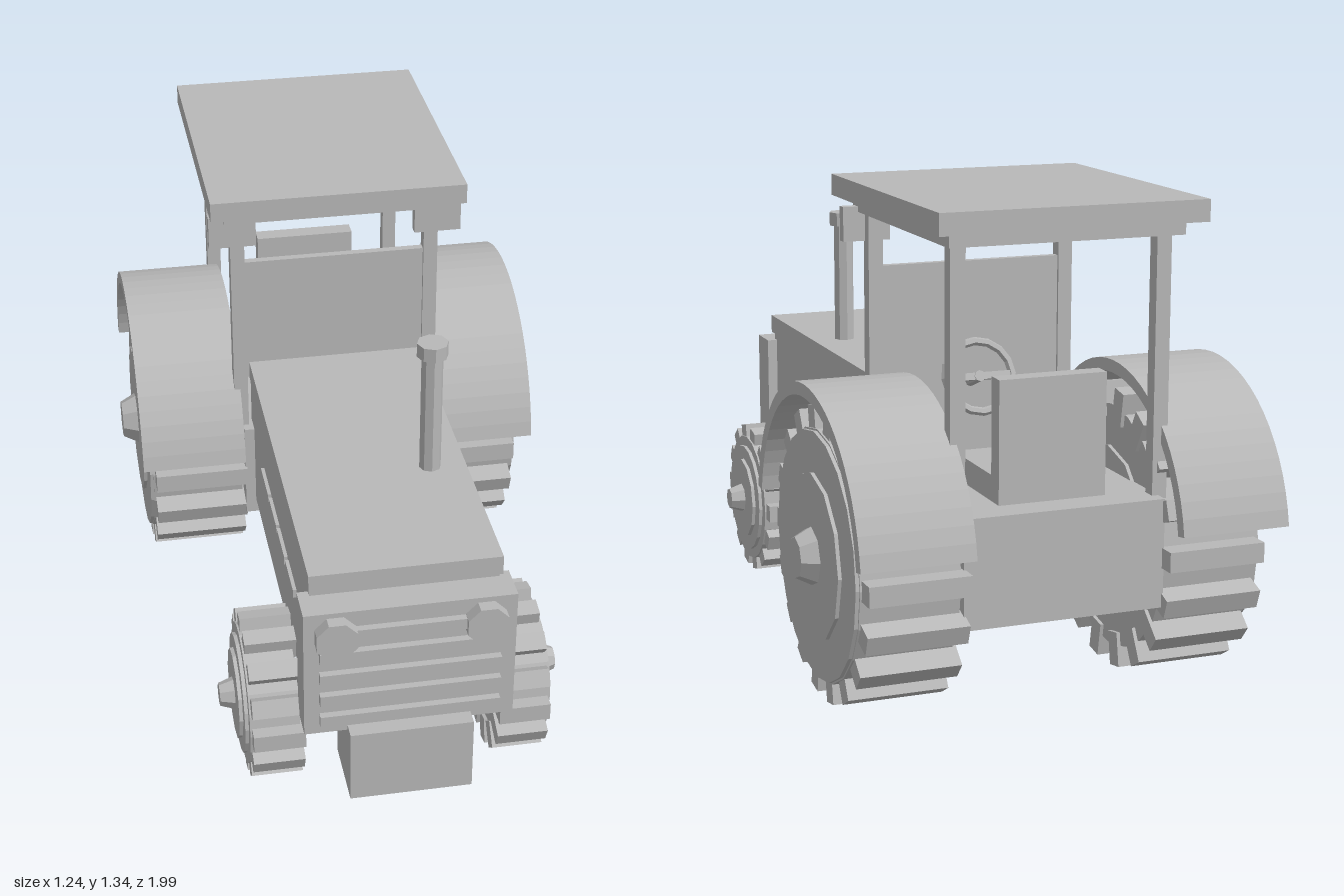
import * as THREE from 'three';

const grey = new THREE.MeshStandardMaterial({ color: 0xb8b8b8, flatShading: true });
grey.name = 'light grey';

function add(parent, name, geometry, x = 0, y = 0, z = 0) {
  const mesh = new THREE.Mesh(geometry, grey);
  mesh.name = name;
  mesh.position.set(x, y, z);
  parent.add(mesh);
  return mesh;
}

// Box given by its [min, max] extent on each axis
function box(parent, name, [x0, x1], [y0, y1], [z0, z1]) {
  return add(parent, name, new THREE.BoxGeometry(x1 - x0, y1 - y0, z1 - z0),
    (x0 + x1) / 2, (y0 + y1) / 2, (z0 + z1) / 2);
}

// Cylinder lying along x, from x0 (radius r0) to x1 (radius r1)
function axial(parent, name, x0, x1, r0, r1, sides) {
  const g = new THREE.CylinderGeometry(r1, r0, x1 - x0, sides);
  g.rotateZ(-Math.PI / 2);
  return add(parent, name, g, (x0 + x1) / 2);
}

// Wheel facing +x; the right-hand wheel is the same one turned around
function wheel(parent, name, side, y, z, p) {
  const w = new THREE.Group();
  w.name = name;
  w.position.set(0, y, z);
  if (side < 0) w.rotation.y = Math.PI;
  parent.add(w);
  axial(w, 'tyre', p.inner, p.outer, p.tyre, p.tyre, 20);
  axial(w, 'sidewall', p.outer, p.outer + 0.01, p.wall, p.wall, 20);
  axial(w, 'rim', p.inner - 0.01, p.outer + 0.02, p.rim, p.rim, 12);
  axial(w, 'hub', p.outer + 0.02, p.hubEnd, p.hub, p.hub * 0.7, 8);
  const height = p.reach - p.tyre + 0.04;
  for (let i = 0; i < p.lugs; i++) {
    const a = (i / p.lugs) * Math.PI * 2;
    const r = p.reach - height / 2;
    const lug = add(w, 'lug', new THREE.BoxGeometry(p.lugEnd - p.inner + 0.01, p.lugWidth, height),
      (p.lugEnd + p.inner - 0.01) / 2, Math.sin(a) * r, Math.cos(a) * r);
    lug.rotation.x = -a;
  }
}

export function createModel() {
  const model = new THREE.Group();
  model.name = 'tractor';

  // Hood, chassis and nose
  box(model, 'hood', [-0.25, 0.25], [0.31, 0.72], [-0.22, 0.87]);
  box(model, 'hoodTop', [-0.255, 0.255], [0.715, 0.77], [-0.2, 0.89]);
  box(model, 'rearBody', [-0.28, 0.28], [0.265, 0.56], [-0.89, -0.16]);
  box(model, 'grilleShell', [-0.28, 0.28], [0.31, 0.695], [0.85, 0.955]);
  box(model, 'frontWeight', [-0.165, 0.165], [0.11, 0.325], [0.8, 1]);
  for (let i = 0; i < 5; i++) {
    const y = 0.36 + i * 0.068;
    box(model, 'grilleBar', [-0.24, 0.24], [y - 0.016, y + 0.016], [0.95, 0.975]);
  }

  // Exhaust stack
  add(model, 'exhaust', new THREE.CylinderGeometry(0.03, 0.03, 0.37, 8), 0.155, 0.945, 0.44);
  add(model, 'exhaustCap', new THREE.CylinderGeometry(0.043, 0.043, 0.04, 8), 0.155, 1.14, 0.44);

  // Front axle
  const axle = axial(model, 'frontAxle', -0.3, 0.3, 0.035, 0.035, 8);
  axle.position.y = 0.235;
  axle.position.z = 0.66;

  // Fender arch profile
  const arch = new THREE.Shape();
  arch.absarc(0, 0, 0.452, 0.16, Math.PI - 0.16, false);
  arch.absarc(0, 0, 0.417, Math.PI - 0.16, 0.16, true);
  const fenderGeometry = new THREE.ExtrudeGeometry(arch, { depth: 0.305, bevelEnabled: false, curveSegments: 14 });
  fenderGeometry.rotateY(Math.PI / 2);
  fenderGeometry.translate(-0.1525, 0, 0);

  for (const s of [-1, 1]) {
    const label = s > 0 ? 'left' : 'right';
    const span = (a, b) => (s > 0 ? [a, b] : [-b, -a]);

    wheel(model, label + 'RearWheel', s, 0.4, -0.545, {
      inner: 0.285, outer: 0.555, tyre: 0.34, wall: 0.335, rim: 0.225, hub: 0.08, hubEnd: 0.62,
      lugs: 18, reach: 0.395, lugEnd: 0.55, lugWidth: 0.055,
    });
    wheel(model, label + 'FrontWheel', s, 0.235, 0.66, {
      inner: 0.275, outer: 0.41, tyre: 0.195, wall: 0.165, rim: 0.125, hub: 0.045, hubEnd: 0.47,
      lugs: 14, reach: 0.229, lugEnd: 0.405, lugWidth: 0.05,
    });
    add(model, label + 'Fender', fenderGeometry, s * 0.4375, 0.41, -0.548);

    // Headlight
    const lamp = new THREE.CylinderGeometry(0.058, 0.058, 0.04, 8);
    lamp.rotateX(Math.PI / 2);
    lamp.rotateZ(Math.PI / 8);
    add(model, label + 'Headlight', lamp, s * 0.197, 0.627, 0.97);

    // Side louvres
    for (let i = 0; i < 4; i++) {
      const z = 0.58 - i * 0.155;
      box(model, 'louvre', span(0.24, 0.26), [0.529, 0.554], [z - 0.07, z + 0.07]);
    }

    // Cab posts and work lights
    box(model, label + 'FrontPost', span(0.262, 0.303), [0.55, 1.26], [-0.23, -0.19]);
    box(model, label + 'RearPost', span(0.262, 0.303), [0.55, 1.26], [-0.85, -0.81]);
    box(model, label + 'WorkLight', span(0.23, 0.365), [1.17, 1.265], [-0.2, -0.17]);
  }

  // Roof and windscreen
  box(model, 'roof', [-0.365, 0.365], [1.287, 1.345], [-0.938, -0.1]);
  box(model, 'roofLining', [-0.322, 0.322], [1.25, 1.288], [-0.89, -0.155]);
  box(model, 'windscreen', [-0.263, 0.263], [0.72, 1.102], [-0.222, -0.2]);

  // Seat
  box(model, 'seatCushion', [-0.15, 0.15], [0.55, 0.63], [-0.79, -0.5]);
  box(model, 'seatBack', [-0.15, 0.15], [0.56, 0.89], [-0.8, -0.748]);

  // Steering wheel, tilted toward the seat
  const steering = new THREE.Group();
  steering.name = 'steering';
  steering.position.set(0, 0.785, -0.285);
  steering.rotation.x = 0.37;
  model.add(steering);
  add(steering, 'steeringRim', new THREE.TorusGeometry(0.1, 0.012, 6, 16));
  box(steering, 'steeringSpoke', [-0.1, 0.1], [-0.01, 0.01], [-0.008, 0.008]);
  const column = new THREE.CylinderGeometry(0.016, 0.016, 0.12, 8);
  column.rotateX(Math.PI / 2);
  add(steering, 'steeringColumn', column, 0, 0, 0.05);

  return model;
}
